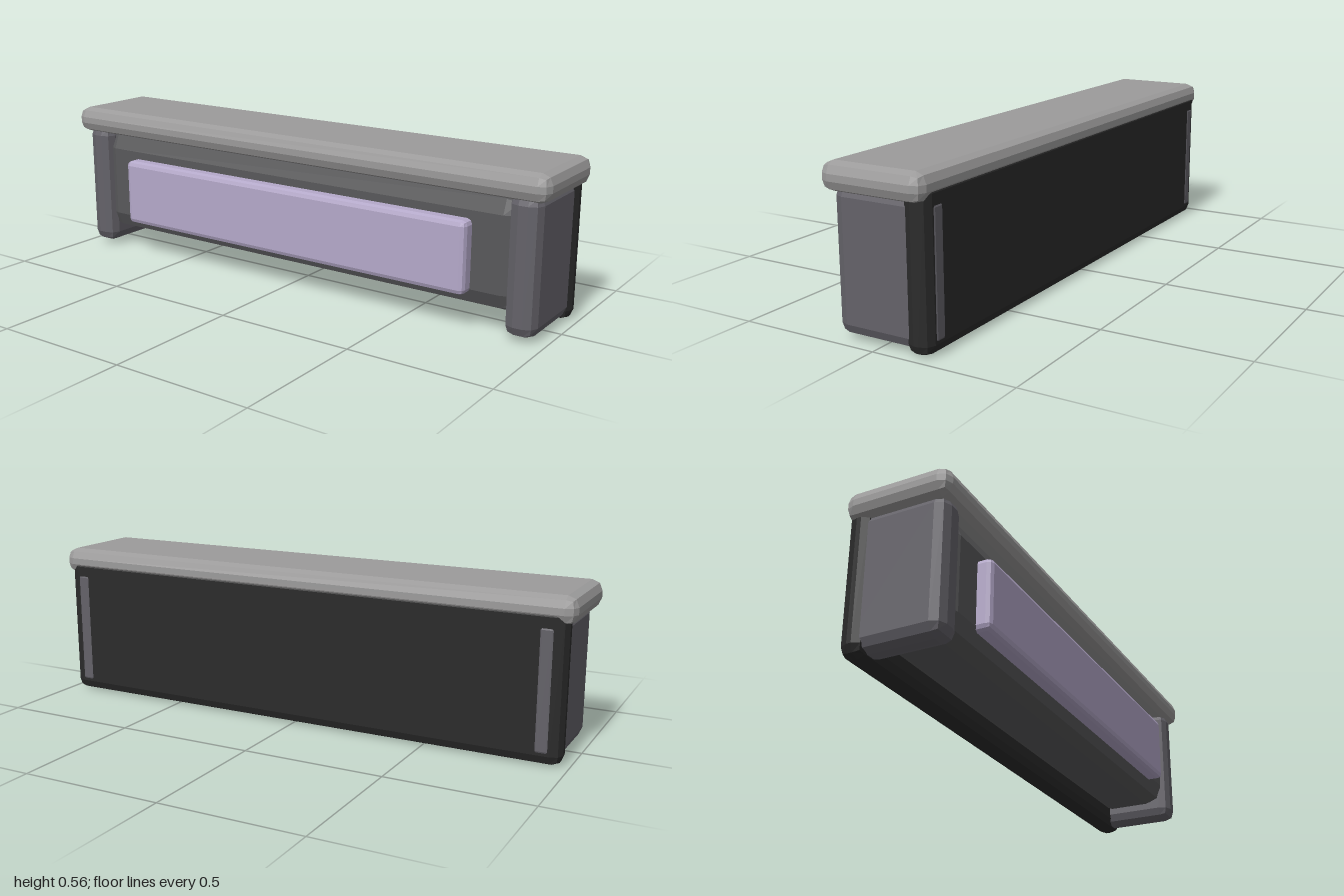
import * as THREE from 'three';
import { RoundedBoxGeometry } from 'three/addons/geometries/RoundedBoxGeometry.js';

function material(name, color) {
  const m = new THREE.MeshStandardMaterial({ color });
  m.name = name;
  return m;
}

// Box with faceted, rounded edges, given by its min and max corners
function softBox(name, mat, min, max, radius) {
  const size = max.map((v, i) => v - min[i]);
  const geometry = new RoundedBoxGeometry(...size, 1, radius);
  geometry.computeVertexNormals(); // flat facets
  const mesh = new THREE.Mesh(geometry, mat);
  mesh.name = name;
  mesh.position.set(...max.map((v, i) => (v + min[i]) / 2));
  return mesh;
}

export function createModel() {
  const group = new THREE.Group();
  group.name = 'counter';
  const topGrey = material('light grey', 0x9c9b9b);
  const postGrey = material('slate grey', 0x646269);
  const bodyGrey = material('dark grey', 0x59595b);
  const black = material('charcoal', 0x2b2b2b);
  const lilac = material('lilac', 0xb5a9ca);

  // Worktop slab
  group.add(softBox('worktop', topGrey, [-1, 0.465, -0.188], [1, 0.56, 0.182], 0.036));
  // Recessed main body between the posts
  group.add(softBox('body', bodyGrey, [-0.91, 0.07, -0.15], [0.91, 0.475, 0.14], 0.07));
  // Back panel
  group.add(softBox('backPanel', black, [-0.977, 0, -0.188], [0.977, 0.53, -0.098], 0.037));
  // Front plate
  group.add(softBox('frontPlate', lilac, [-0.735, 0.128, 0.1], [0.735, 0.377, 0.19], 0.018));
  // End posts, just showing through the back panel
  for (const side of [-1, 1]) {
    const xs = [0.858 * side, 0.968 * side].sort((a, b) => a - b);
    const name = side > 0 ? 'leftPost' : 'rightPost';
    group.add(softBox(name, postGrey, [xs[0], 0.013, -0.19], [xs[1], 0.49, 0.16], 0.039));
  }
  return group;
}
